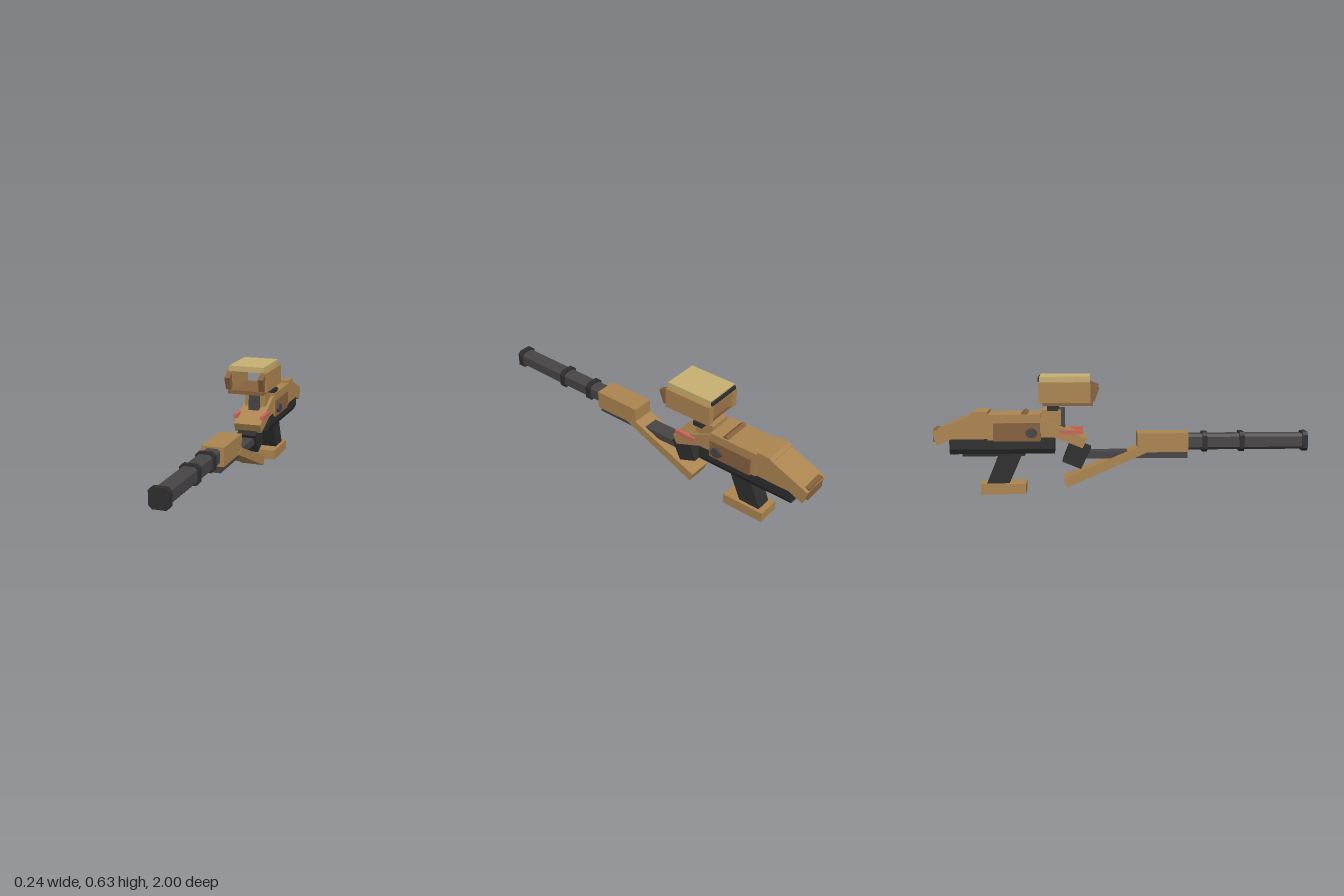
import * as THREE from 'three';

const mat = (name, color) => new THREE.MeshStandardMaterial({ name, color });

export function createModel() {
  const root = new THREE.Group();
  root.name = 'blaster';
  const tan = mat('tan', 0xab8550);
  const sand = mat('sand', 0xc8b070);
  const brown = mat('brown', 0x87613f);
  const steel = mat('steel', 0x474446);
  const dark = mat('dark', 0x2e2e2f);
  const red = mat('red', 0xcb6759);

  const add = (name, geometry, material) => {
    const mesh = new THREE.Mesh(geometry, material);
    mesh.name = name;
    root.add(mesh);
    return mesh;
  };

  // Box given by its limits on each axis
  const box = (name, m, x0, x1, y0, y1, z0, z1) => {
    const g = new THREE.BoxGeometry(x1 - x0, y1 - y0, z1 - z0);
    g.translate((x0 + x1) / 2, (y0 + y1) / 2, (z0 + z1) / 2);
    return add(name, g, m);
  };

  // Side outline of [z, y] points, extruded from x0 to x1
  const slab = (name, m, x0, x1, points) => {
    const shape = new THREE.Shape(points.map(p => new THREE.Vector2(...p)));
    const g = new THREE.ExtrudeGeometry(shape, { depth: x1 - x0, bevelEnabled: false });
    g.rotateY(-Math.PI / 2);
    g.translate(x1, 0, 0);
    return add(name, g, m);
  };

  // Front outline of [x, y] points, extruded from z0 to z1
  const bar = (name, m, points, z0, z1) => {
    const shape = new THREE.Shape(points.map(p => new THREE.Vector2(...p)));
    const g = new THREE.ExtrudeGeometry(shape, { depth: z1 - z0, bevelEnabled: false });
    g.translate(0, 0, z0);
    return add(name, g, m);
  };

  // Square with cut corners
  const cutSquare = (cx, cy, r, c) => [
    [r - c, -r], [r, c - r], [r, r - c], [r - c, r],
    [c - r, r], [-r, r - c], [-r, c - r], [c - r, -r],
  ].map(([x, y]) => [x + cx, y + cy]);

  // Barrel with three collars
  bar('barrel', steel, cutSquare(0, 0.275, 0.042, 0.014), 0.3, 0.99);
  for (const [z0, z1] of [[0.972, 1], [0.63, 0.657], [0.43, 0.457]])
    bar('barrelCollar', dark, cutSquare(0, 0.275, 0.052, 0.017), z0, z1);

  // Handguard, lower rail and swept arm
  box('handguard', tan, -0.062, 0.062, 0.225, 0.327, 0.08, 0.352);
  box('lowerRail', steel, -0.043, 0.043, 0.19, 0.228, -0.24, 0.35);
  slab('sweptArm', tan, -0.065, 0.065,
    [[0.14, 0.228], [0.08, 0.25], [-0.315, 0.085], [-0.297, 0.037]]);

  // Tilted block joining the rail to the body
  slab('tiltedBlock', dark, -0.055, 0.055,
    [[-0.168, 0.245], [-0.275, 0.29], [-0.32, 0.176], [-0.222, 0.136]]);

  // Lower body, bevelled along its underside
  bar('lowerBody', dark,
    [[-0.066, 0.223], [0.066, 0.223], [0.08, 0.25], [0.08, 0.312], [-0.08, 0.312], [-0.08, 0.25]],
    -0.912, -0.36);
  box('underPlate', dark, -0.045, 0.045, 0.207, 0.225, -0.85, -0.52);

  // Nose, receiver and sloping stock
  slab('nose', tan, -0.077, 0.077,
    [[-0.188, 0.302], [-0.43, 0.412], [-0.46, 0.412], [-0.46, 0.31], [-0.36, 0.31], [-0.212, 0.252]]);
  box('receiver', tan, -0.088, 0.088, 0.3, 0.434, -0.71, -0.432);
  slab('stock', tan, -0.083, 0.083,
    [[-0.70, 0.434], [-0.79, 0.434], [-1, 0.345], [-0.977, 0.272], [-0.9, 0.305], [-0.70, 0.305]]);
  slab('stockCap', tan, -0.088, 0.088,
    [[-0.71, 0.436], [-0.71, 0.449], [-0.782, 0.449], [-0.80, 0.434], [-0.79, 0.38], [-0.71, 0.38]]);
  slab('stockPad', brown, -0.063, 0.063,
    [[-0.915, 0.357], [-0.998, 0.357], [-0.998, 0.29], [-0.965, 0.29]]);
  slab('topRidge', brown, -0.078, 0.078,
    [[-0.495, 0.43], [-0.52, 0.45], [-0.54, 0.43]]);

  // Side panels, knobs and light strips
  for (const s of [-1, 1]) {
    const side = (name, m, a, b, ...rest) => box(name, m, Math.min(s * a, s * b), Math.max(s * a, s * b), ...rest);
    side('sidePanel', brown, 0.07, 0.093, 0.293, 0.39, -0.68, -0.434);
    const knob = new THREE.CylinderGeometry(0.032, 0.032, 0.03, 8);
    knob.rotateY(Math.PI / 8).rotateZ(Math.PI / 2).scale(1, 0.8, 1).translate(s * 0.092, 0.337, -0.48);
    add('sideKnob', knob, steel);
    side('lightStrip', red, 0.069, 0.088, 0.327, 0.349, -0.332, -0.21);
  }

  // Sight mount
  box('mountBlock', tan, -0.06, 0.06, 0.375, 0.455, -0.43, -0.325);
  box('mountPost', steel, -0.03, 0.03, 0.345, 0.46, -0.345, -0.305);
  box('mountBar', dark, -0.112, 0.112, 0.457, 0.48, -0.395, -0.34);

  // Open box sight
  box('sightFloor', brown, -0.1, 0.1, 0.48, 0.5, -0.42, -0.155);
  box('sightRoof', sand, -0.1, 0.1, 0.604, 0.634, -0.435, -0.17);
  box('sightRearStrip', dark, -0.098, 0.098, 0.607, 0.626, -0.445, -0.434);
  for (const s of [-1, 1]) {
    const span = (a, b) => (s > 0 ? [a, b] : [-b, -a]);
    box('sightWall', tan, ...span(0.08, 0.119), 0.498, 0.605, -0.44, -0.17);
    slab('sightVisor', brown, ...span(0.081, 0.11),
      [[-0.122, 0.575], [-0.172, 0.597], [-0.172, 0.505], [-0.148, 0.505]]);
  }

  // Raked grip and foot
  slab('grip', dark, -0.045, 0.045,
    [[-0.53, 0.225], [-0.655, 0.225], [-0.725, 0.055], [-0.605, 0.055]]);
  box('gripFoot', tan, -0.064, 0.064, 0.004, 0.06, -0.755, -0.515);
  box('footSlot', dark, -0.05, 0.05, 0, 0.005, -0.645, -0.625);

  return root;
}
